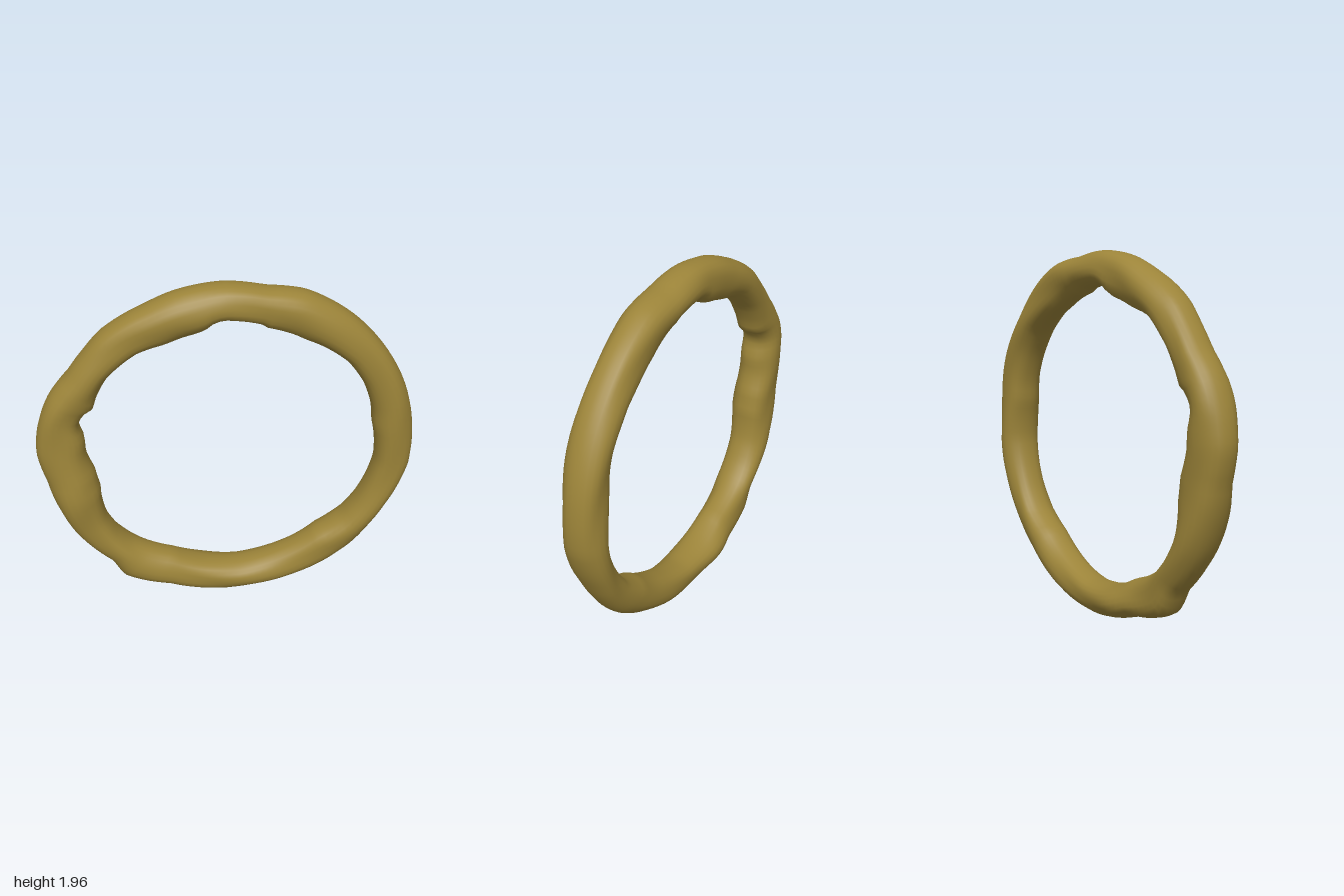
import * as THREE from 'three';

const CY = 0.98; // height of the ring's centre
const TAU = Math.PI * 2;

// Uneven rims as x, y points
const OUTER = [
  0, 1.96, 0.2, 1.93, 0.4, 1.9, 0.5, 1.85, 0.62, 1.77, 0.77, 1.62, 0.91, 1.4, 0.96, 1.27, 1, 1.06,
  1, 0.85, 0.9, 0.58, 0.82, 0.43, 0.72, 0.29, 0.6, 0.19, 0.43, 0.1, 0.27, 0.04, 0.13, 0.01,
  0, 0, -0.2, 0.03, -0.33, 0.07, -0.48, 0.1, -0.58, 0.14, -0.62, 0.2, -0.64, 0.26, -0.73, 0.35,
  -0.84, 0.5, -0.9, 0.63, -0.96, 0.85, -1, 1.04, -0.98, 1.18, -0.94, 1.3, -0.9, 1.38, -0.8, 1.5,
  -0.72, 1.61, -0.63, 1.72, -0.4, 1.86, -0.26, 1.92,
];
const INNER = [
  0, 1.78, 0.17, 1.75, 0.19, 1.73, 0.4, 1.64, 0.62, 1.5, 0.71, 1.37, 0.77, 1.2, 0.78, 1.1, 0.81, 0.87,
  0.72, 0.58, 0.65, 0.48, 0.5, 0.38, 0.3, 0.25, 0.08, 0.18, -0.13, 0.2, -0.3, 0.27, -0.53, 0.38,
  -0.6, 0.46, -0.66, 0.58, -0.68, 0.77, -0.7, 0.88, -0.74, 1, -0.74, 1.1, -0.77, 1.2, -0.73, 1.27,
  -0.68, 1.3, -0.66, 1.37, -0.6, 1.48, -0.44, 1.62, -0.3, 1.66, -0.14, 1.71, -0.08, 1.74, -0.06, 1.77,
];

// Turns rim points into a radius-by-angle function
function rim(points) {
  const polar = [];
  for (let i = 0; i < points.length; i += 2) {
    const x = points[i], y = points[i + 1] - CY;
    polar.push([(Math.atan2(y, x) + TAU) % TAU, Math.hypot(x, y)]);
  }
  polar.sort((p, q) => p[0] - q[0]);
  const first = polar[0], last = polar[polar.length - 1];
  polar.unshift([last[0] - TAU, last[1]]);
  polar.push([first[0] + TAU, first[1]]);
  return (a) => {
    let i = 1;
    while (polar[i][0] < a) i++;
    const [a0, r0] = polar[i - 1], [a1, r1] = polar[i];
    return r0 + ((r1 - r0) * (a - a0)) / (a1 - a0);
  };
}

// Local swelling at the angle of point x, y
function swell(a, x, y, width) {
  const d = a - Math.atan2(y - CY, x);
  return Math.exp(-(((Math.atan2(Math.sin(d), Math.cos(d))) / width) ** 2));
}

// Closed ring of rounded sections with three strands winding round it
function twistedRing(steps, sides) {
  const outer = rim(OUTER), inner = rim(INNER);
  const positions = [], index = [];
  for (let i = 0; i < steps; i++) {
    const a = (i / steps) * TAU;
    const ro = outer(a), ri = inner(a);
    const front = 0.103 + 0.025 * swell(a, -0.8, 0.72, 0.2);
    const back = 0.11 + 0.02 * swell(a, -0.2, 0.08, 0.15);
    for (let j = 0; j < sides; j++) {
      const phi = (j / sides) * TAU;
      const c = Math.cos(phi), s = Math.sin(phi);
      const ripple = 1 + 0.07 * s * s * Math.cos(3 * phi + 8 * a);
      const r = (ro + ri) / 2 + ((ro - ri) / 2) * Math.sign(c) * Math.abs(c) ** 0.9 * ripple;
      const z = (s > 0 ? front : back) * Math.sign(s) * Math.abs(s) ** 0.9 * ripple;
      positions.push(r * Math.cos(a), CY + r * Math.sin(a), z);
      const i2 = (i + 1) % steps, j2 = (j + 1) % sides;
      const p = i * sides + j, q = i2 * sides + j, u = i2 * sides + j2, v = i * sides + j2;
      index.push(p, q, u, p, u, v);
    }
  }
  const geometry = new THREE.BufferGeometry();
  geometry.setAttribute('position', new THREE.Float32BufferAttribute(positions, 3));
  geometry.setIndex(index);
  geometry.computeVertexNormals();
  return geometry;
}

export function createModel() {
  const group = new THREE.Group();
  group.name = 'twistedRing';
  const material = new THREE.MeshStandardMaterial({ color: 0x9c8439 });
  material.name = 'oldGold';
  const ring = new THREE.Mesh(twistedRing(144, 24), material);
  ring.name = 'ringBand';
  group.add(ring);
  return group;
}
